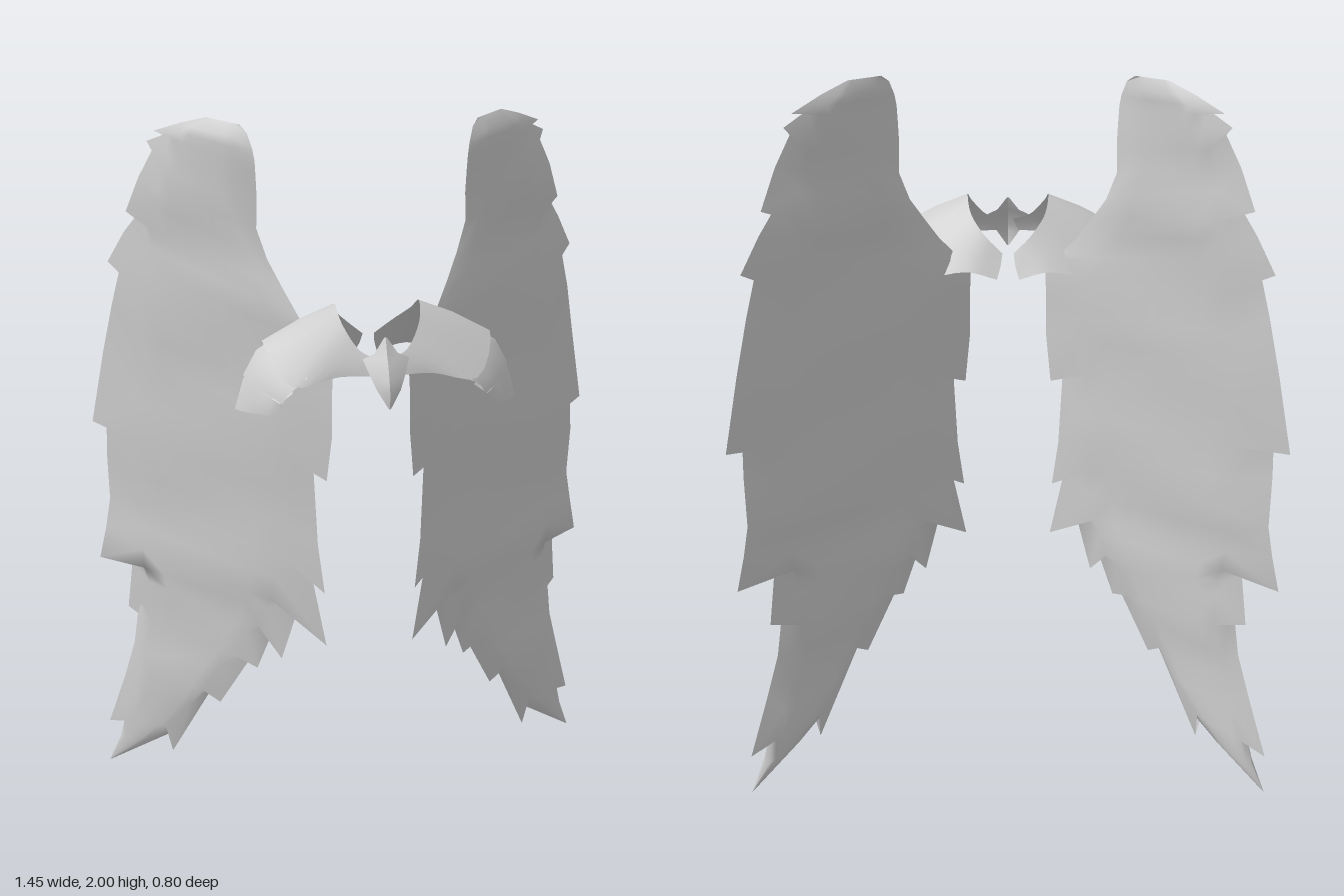
import * as THREE from 'three';
import { toCreasedNormals } from 'three/addons/utils/BufferGeometryUtils.js';

const material = new THREE.MeshStandardMaterial({ color: 0xcccccc, side: THREE.DoubleSide });
const lerp = THREE.MathUtils.lerp;

// Surface through rows of [x, y, z] points; side = -1 mirrors it in x
function loft(rows, side = 1, flip = false) {
  const n = rows[0].length;
  const index = [];
  for (let i = 0; i < rows.length - 1; i++) {
    for (let j = 0; j < n - 1; j++) {
      const a = i * n + j, b = a + 1, c = a + n, d = c + 1;
      if ((side < 0) !== flip) index.push(a, b, c, b, d, c);
      else index.push(a, c, b, b, c, d);
    }
  }
  const geo = new THREE.BufferGeometry();
  const points = rows.flat().flatMap(([x, y, z]) => [x * side, y, z]);
  geo.setAttribute('position', new THREE.Float32BufferAttribute(points, 3));
  geo.setIndex(index);
  geo.computeVertexNormals();
  return geo;
}

function addMesh(parent, geo, name) {
  const mesh = new THREE.Mesh(geo, material);
  mesh.name = name;
  parent.add(mesh);
}

// Feathered wing edges, top to bottom, seen from the front
const outerEdge = [
  [.40, 2], [.46, 1.98], [.53, 1.95], [.49, 1.95], [.55, 1.92], [.525, 1.92], [.57, 1.82], [.61, 1.72],
  [.57, 1.73], [.62, 1.66], [.665, 1.57], [.625, 1.59], [.655, 1.45], [.69, 1.3], [.725, 1.09], [.685, 1.15],
  [.685, 1], [.69, .86], [.70, .77], [.72, .67], [.645, .78], [.63, .68], [.65, .53], [.61, .6],
  [.635, .42], [.665, .3], [.72, .13], [.655, .23], [.69, .09], [.72, 0]];
const innerEdge = [
  [.32, 1.99], [.30, 1.97], [.285, 1.93], [.28, 1.9], [.28, 1.86], [.28, 1.8], [.283, 1.72], [.26, 1.64],
  [.22, 1.57], [.18, 1.5], [.14, 1.44], [.105, 1.4], [.105, 1.3], [.105, 1.18], [.12, 1.05], [.15, 1.08],
  [.14, .86], [.125, .72], [.16, .78], [.125, .56], [.18, .7], [.235, .49], [.25, .6], [.30, .44],
  [.31, .48], [.40, .3], [.41, .36], [.54, .09], [.53, .16], [.72, 0]];

// Smoothed edge from which the feather tips stick out
function smoothEdge(edge, i) {
  const sum = [0, 0];
  for (let k = -2; k <= 2; k++) {
    const p = edge[THREE.MathUtils.clamp(i + k, 0, edge.length - 1)];
    sum[0] += p[0] / 5;
    sum[1] += p[1] / 5;
  }
  return sum;
}

// One face of the swept-back, lens-shaped wing blade
function wingFace(side, face) {
  const rows = outerEdge.map((outer, i) => {
    const inner = innerEdge[i];
    const a = smoothEdge(innerEdge, i), b = smoothEdge(outerEdge, i);
    const ends = i === 0 || i === outerEdge.length - 1;
    const row = [[...inner, 0]];
    for (let j = 0; j <= 6; j++) {
      const u = lerp(.17, .83, j / 6);
      const from = ends ? inner : a, to = ends ? outer : b;
      const thick = ends ? 0 : .011 + .008 * Math.sin(Math.PI * u);
      row.push([lerp(from[0], to[0], u), lerp(from[1], to[1], u), thick]);
    }
    row.push([...outer, 0]);
    return row.map(([x, y, t]) => {
      const ripple = .005 * Math.sin(y * 17 + x * 4) + .003 * Math.sin(y * 31 - x * 6);
      const d = t * face + ripple;
      return [x + d * .64, y, .07 - .84 * (x - .16) + d * .77];
    });
  });
  return loft(rows, side, face < 0);
}

// Yoke around the neck: inner, middle and outer rims, back to front
const yokeRims = [
  [[.015, 1.45, .07], [.06, 1.49, .09], [.10, 1.535, .14], [.11, 1.57, .2], [.10, 1.53, .26], [.06, 1.47, .305], [.015, 1.45, .32]],
  [[.02, 1.42, .05], [.09, 1.45, .065], [.17, 1.47, .10], [.2, 1.535, .2], [.17, 1.47, .29], [.09, 1.44, .32], [.02, 1.43, .33]],
  [[.03, 1.39, .03], [.11, 1.41, .035], [.24, 1.39, .06], [.30, 1.48, .2], [.24, 1.39, .325], [.12, 1.41, .325], [.03, 1.41, .335]]];

function yoke(side) {
  const curves = yokeRims.map(rim => new THREE.CatmullRomCurve3(rim.map(p => new THREE.Vector3(...p))));
  const rows = [];
  for (let i = 0; i <= 24; i++) rows.push(curves.map(c => c.getPoint(i / 24).toArray()));
  return toCreasedNormals(loft(rows, side), .6);
}

// Arched shoulder plate; each arc is [ridge x, ridge y, end x, end y, half depth]
function plate(side, arcs) {
  const rows = [];
  for (let i = 0; i <= 12; i++) {
    const t = i / 6 - 1, k = Math.abs(t) ** 1.4;
    rows.push(arcs.map(([rx, ry, ex, ey, w]) => [lerp(rx, ex, k), lerp(ry, ey, k), .198 + t * w]));
  }
  return toCreasedNormals(loft(rows, side), .6);
}

// Pointed clasp at the front: y, half width, ridge z
function clasp() {
  const sections = [[1.51, .003, .33], [1.465, .03, .355], [1.445, .06, .37], [1.41, .045, .388], [1.38, .03, .4], [1.34, .003, .395]];
  const rows = sections.map(([y, w, z]) => [[-w, y + w * .2, z - w * .6], [0, y, z], [w, y + w * .2, z - w * .6]]);
  return toCreasedNormals(loft(rows), .6);
}

export function createModel() {
  const model = new THREE.Group();
  model.name = 'wingedShoulderArmour';
  for (const side of [1, -1]) {
    const label = side > 0 ? 'left' : 'right';
    const wing = new THREE.Group();
    wing.name = label + 'Wing';
    addMesh(wing, wingFace(side, 1), 'wingFront');
    addMesh(wing, wingFace(side, -1), 'wingBack');
    const shoulder = new THREE.Group();
    shoulder.name = label + 'Shoulder';
    addMesh(shoulder, yoke(side), 'yoke');
    addMesh(shoulder, plate(side, [[.26, 1.49, .20, 1.41, .125], [.315, 1.455, .25, 1.37, .13], [.35, 1.39, .265, 1.345, .125]]), 'upperPlate');
    addMesh(shoulder, plate(side, [[.31, 1.44, .235, 1.37, .115], [.35, 1.38, .27, 1.345, .12], [.373, 1.30, .275, 1.31, .115]]), 'lowerPlate');
    model.add(wing, shoulder);
  }
  addMesh(model, clasp(), 'frontClasp');
  return model;
}
